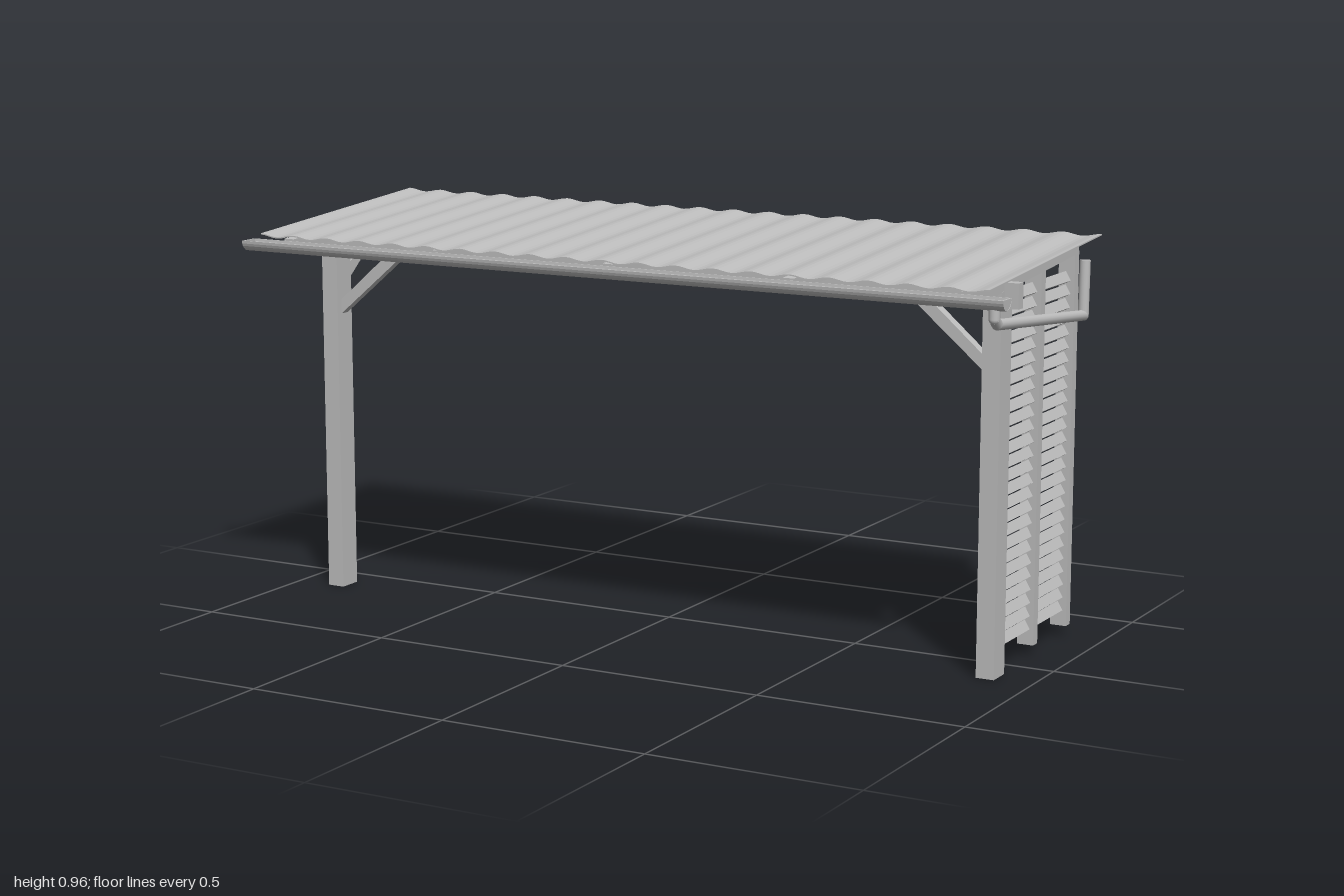
import * as THREE from 'three';

export function createModel() {
  const model = new THREE.Group();
  const grey = new THREE.MeshStandardMaterial({ color: 0xbebebe });
  grey.name = 'grey';
  const greySheet = grey;

  function add(name, geometry, parent = model) {
    const mesh = new THREE.Mesh(geometry, greySheet);
    mesh.name = name;
    parent.add(mesh);
    return mesh;
  }

  function group(name) {
    const g = new THREE.Group();
    g.name = name;
    model.add(g);
    return g;
  }

  // Box given by its limits on each axis
  function box(name, [x0, x1], [y0, y1], [z0, z1], parent) {
    const mesh = add(name, new THREE.BoxGeometry(x1 - x0, y1 - y0, z1 - z0), parent);
    mesh.position.set((x0 + x1) / 2, (y0 + y1) / 2, (z0 + z1) / 2);
    return mesh;
  }

  // Outline of [z, y] points, extruded along x from x0 to x1
  function sideProfile(name, points, x0, x1, parent) {
    const shape = new THREE.Shape(points.map(([z, y]) => new THREE.Vector2(-z, y)));
    const geometry = new THREE.ExtrudeGeometry(shape, { depth: x1 - x0, bevelEnabled: false });
    geometry.rotateY(Math.PI / 2);
    geometry.translate(x0, 0, 0);
    return add(name, geometry, parent);
  }

  // Round pipe between two points
  function rod(name, a, b, r, parent) {
    const dir = b.clone().sub(a);
    const mesh = add(name, new THREE.CylinderGeometry(r, r, dir.length(), 16), parent);
    mesh.position.copy(a).addScaledVector(dir, 0.5);
    mesh.quaternion.setFromUnitVectors(new THREE.Vector3(0, 1, 0), dir.normalize());
    return mesh;
  }

  // Main posts and the beam across them
  for (const s of [-1, 1]) {
    const x = s * 0.888;
    box(s > 0 ? 'leftPost' : 'rightPost', [x - 0.022, x + 0.022], [0, 0.88], [0.075, 0.135]);
  }
  box('beam', [-0.943, 0.943], [0.842, 0.9], [0.092, 0.118]);

  // Diagonal braces under the beam
  for (const s of [-1, 1]) {
    const corners = [[0.867, 0.695], [0.867, 0.73], [0.735, 0.845], [0.69, 0.845]];
    const shape = new THREE.Shape(corners.map(([x, y]) => new THREE.Vector2(s * x, y)));
    const geometry = new THREE.ExtrudeGeometry(shape, { depth: 0.026, bevelEnabled: false });
    geometry.translate(0, 0, 0.092);
    add('beamBrace', geometry);
  }

  // Brace from the free post back to its rafter
  sideProfile('rafterBrace',
    [[0.077, 0.77], [0.077, 0.805], [-0.015, 0.885], [-0.07, 0.888]], -0.902, -0.876);

  // Sloping rafters with tapered front ends
  const rafters = group('rafters');
  for (const x of [-0.895, -0.465, 0, 0.465, 0.895]) {
    sideProfile('rafter',
      [[0.29, 0.9], [0.29, 0.886], [0.2, 0.872], [-0.32, 0.912], [-0.32, 0.945]],
      x - 0.014, x + 0.014, rafters);
  }

  // Corrugated roof sheet: wavy strip extruded to the rear, then sheared to the slope
  const x0 = -0.965, x1 = 0.957, waves = 20, steps = waves * 8;
  const upper = [], lower = [];
  for (let i = 0; i <= steps; i++) {
    const x = x0 + (x1 - x0) * i / steps;
    const y = 0.0035 * Math.cos(i / 8 * Math.PI * 2);
    upper.push(new THREE.Vector2(x, y + 0.0015));
    lower.push(new THREE.Vector2(x, y - 0.0015));
  }
  const sheet = new THREE.ExtrudeGeometry(
    new THREE.Shape([...lower, ...upper.reverse()]), { depth: 0.65, bevelEnabled: false });
  sheet.translate(0, 0, -0.34);
  const p = sheet.attributes.position;
  for (let i = 0; i < p.count; i++) {
    p.setY(i, p.getY(i) + 0.953 - 0.071 * (p.getZ(i) + 0.34));
  }
  sheet.computeVertexNormals();
  add('roofSheet', sheet);

  // Louvred side wall: two uprights and tilted slats
  const wall = group('sideWall');
  for (const z of [-0.111, -0.3125]) {
    box('wallUpright', [0.868, 0.908], [0.025, 0.918], [z - 0.0125, z + 0.0125], wall);
  }
  for (let i = 0; i < 26; i++) {
    const y = 0.071 + i * 0.0315;
    const slat = box('slat', [0.883, 0.893], [y - 0.0125, y + 0.0125], [-0.302, 0.077], wall);
    slat.rotation.z = Math.PI / 6;
  }

  // Half-round gutter with closed ends
  const gutter = group('gutter');
  const arc = (r, flip) => Array.from({ length: 13 }, (_, i) => {
    const a = Math.PI * (flip ? 12 - i : i) / 12;
    return [0.315 + r * Math.cos(a), 0.895 - r * Math.sin(a) * 1.05];
  });
  sideProfile('gutterChannel', [...arc(0.025, false), ...arc(0.022, true)], -1, 1, gutter);
  sideProfile('gutterEnd', arc(0.0245, false), -0.999, -0.995, gutter);
  sideProfile('gutterEnd', arc(0.0245, false), 0.995, 0.999, gutter);

  // Drain pipe running from the gutter to the rear
  const pipe = group('drainPipe');
  const path = [[0.315, 0.875], [0.315, 0.85], [0.298, 0.836], [-0.201, 0.788], [-0.205, 0.915]]
    .map(([z, y]) => new THREE.Vector3(0.97, y, z));
  for (let i = 0; i < path.length - 1; i++) {
    rod('pipeSection', path[i], path[i + 1], 0.0125, pipe);
    if (i > 0) {
      add('pipeElbow', new THREE.SphereGeometry(0.0125, 16, 10), pipe).position.copy(path[i]);
    }
  }

  return model;
}
